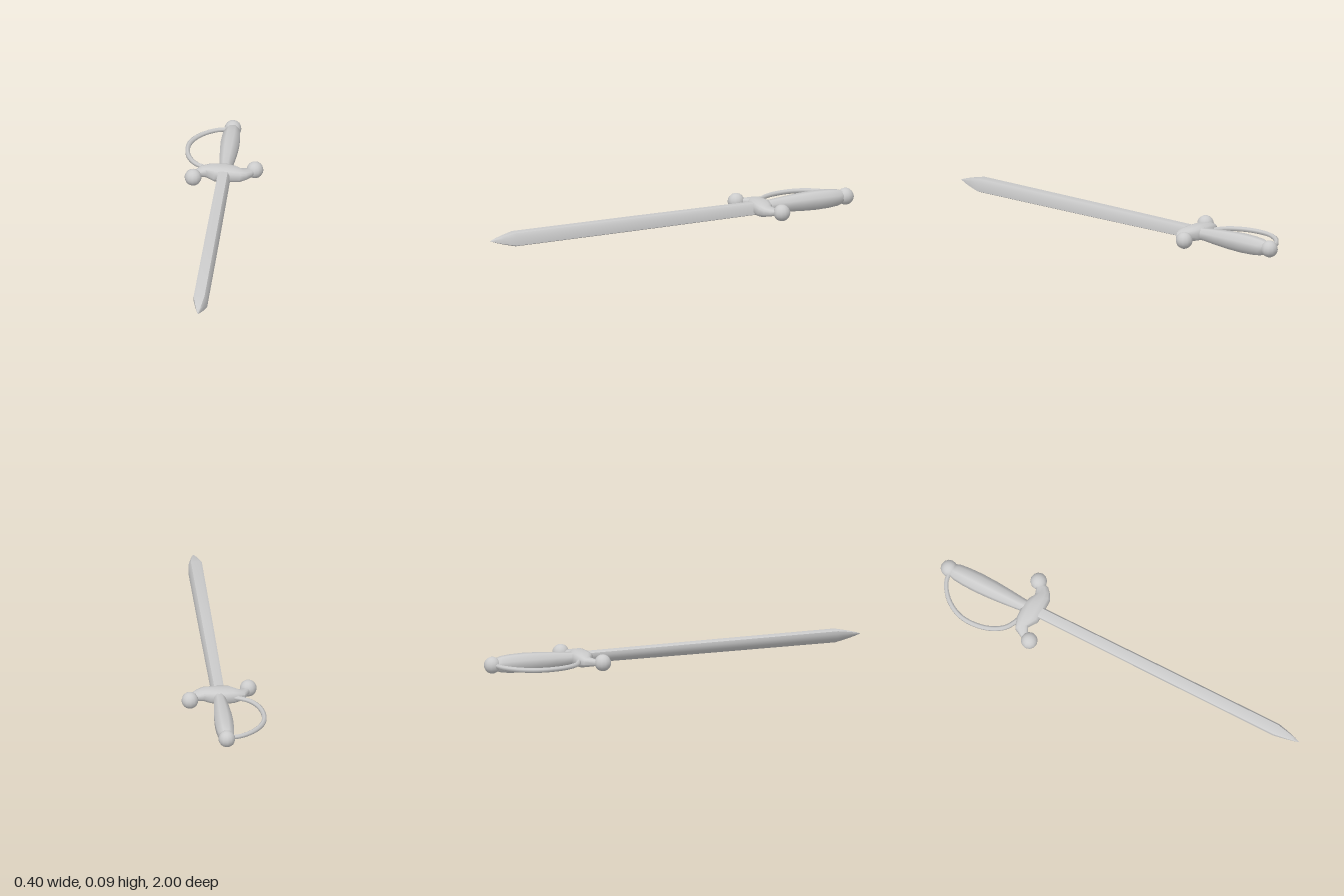
import * as THREE from 'three';
import { toCreasedNormals } from 'three/addons/utils/BufferGeometryUtils.js';

const AX = 0.013, AY = 0.05; // long axis of the sword
const material = new THREE.MeshStandardMaterial({ color: 0xcccccc, roughness: 0.8 });

function add(group, name, geometry, x = 0, y = 0, z = 0) {
  const mesh = new THREE.Mesh(geometry, material);
  mesh.name = name;
  mesh.position.set(x, y, z);
  group.add(mesh);
  return mesh;
}

// Skin a list of equal-length rings and close both ends with fans
function loft(rings, crease) {
  const n = rings[0].length, pos = [], index = [];
  rings.forEach(r => r.forEach(p => pos.push(p.x, p.y, p.z)));
  for (let i = 0; i < rings.length - 1; i++) {
    for (let j = 0; j < n; j++) {
      const a = i * n + j, b = i * n + (j + 1) % n;
      index.push(a, b, b + n, a, b + n, a + n);
    }
  }
  [0, rings.length - 1].forEach((i, end) => {
    const c = rings[i].reduce((s, p) => s.add(p), new THREE.Vector3()).divideScalar(n);
    const ci = pos.length / 3;
    pos.push(c.x, c.y, c.z);
    for (let j = 0; j < n; j++) {
      const a = i * n + j, b = i * n + (j + 1) % n;
      if (end) index.push(a, b, ci); else index.push(b, a, ci);
    }
  });
  const g = new THREE.BufferGeometry();
  g.setAttribute('position', new THREE.Float32BufferAttribute(pos, 3));
  g.setIndex(index);
  return toCreasedNormals(g, crease);
}

export function createModel() {
  const sword = new THREE.Group();
  sword.name = 'sword';

  // Blade: slightly skewed rounded section, drawn out to a point
  const section = [
    [-0.034, 0.013], [-0.025, -0.012], [0.002, -0.035], [0.022, -0.036], [0.035, -0.03],
    [0.034, 0.013], [0.022, 0.031], [-0.02, 0.033], [-0.032, 0.028],
  ];
  const bladeSteps = [[-0.47, 0.87], [-0.43, 0.88], [0.2, 0.96], [0.87, 1], [0.93, 0.62], [0.97, 0.31], [1, 0.02]];
  add(sword, 'blade', loft(bladeSteps.map(([z, s]) =>
    section.map(([x, y]) => new THREE.Vector3(AX + x * s, AY + y * s, z))), 0.9));

  // Guard: S-curved bar; each step is back edge (x, z), front edge (x, z), half height
  const guardSteps = [
    [-0.147, -0.44, -0.112, -0.435, 0.012],
    [-0.14, -0.475, -0.1, -0.457, 0.017],
    [-0.116, -0.52, -0.075, -0.468, 0.024],
    [-0.063, -0.541, -0.032, -0.438, 0.036],
    [0.013, -0.546, 0.03, -0.436, 0.037],
    [0.055, -0.534, 0.095, -0.437, 0.033],
    [0.085, -0.517, 0.125, -0.452, 0.025],
    [0.118, -0.527, 0.15, -0.475, 0.018],
    [0.138, -0.54, 0.168, -0.53, 0.011],
  ];
  const corner = (v, p) => Math.sign(v) * Math.pow(Math.abs(v), p);
  add(sword, 'guard', loft(guardSteps.map(([x0, z0, x1, z1, h]) =>
    Array.from({ length: 12 }, (_, i) => {
      const a = (i + 0.5) * Math.PI / 6;
      const t = 0.5 + 0.5 * corner(Math.sin(a), 0.7);
      return new THREE.Vector3(x0 + (x1 - x0) * t, AY + h * corner(Math.cos(a), 0.7), z0 + (z1 - z0) * t);
    })), 0.8));

  // Balls on the guard tips and the pommel
  [['leftGuardBall', 0.16, -0.535, 0.042], ['rightGuardBall', -0.138, -0.43, 0.042], ['pommel', AX, -0.958, 0.042]]
    .forEach(([name, x, z, r]) => add(sword, name, new THREE.SphereGeometry(r, 12, 10), x, AY, z));

  // Grip: eight-sided swelling handle along the axis
  const profile = [
    [0, 0.51], [0.03, 0.51], [0.032, 0.55], [0.04, 0.63], [0.046, 0.71],
    [0.049, 0.79], [0.047, 0.86], [0.042, 0.91], [0.034, 0.935], [0, 0.935],
  ].map(([r, d]) => new THREE.Vector2(r, d));
  const gripGeometry = new THREE.LatheGeometry(profile, 8, Math.PI / 8);
  gripGeometry.rotateX(-Math.PI / 2);
  add(sword, 'grip', toCreasedNormals(gripGeometry, 0.95), AX, AY, 0);

  // Knuckle bow: thin hoop from the pommel round to the guard
  const bow = new THREE.CatmullRomCurve3([
    [0, -0.947], [-0.06, -0.935], [-0.13, -0.885], [-0.178, -0.81], [-0.191, -0.735],
    [-0.176, -0.64], [-0.135, -0.57], [-0.09, -0.54], [-0.045, -0.523],
  ].map(([x, z]) => new THREE.Vector3(x, AY, z)));
  add(sword, 'knuckleBow', new THREE.TubeGeometry(bow, 28, 0.0125, 6));

  return sword;
}
